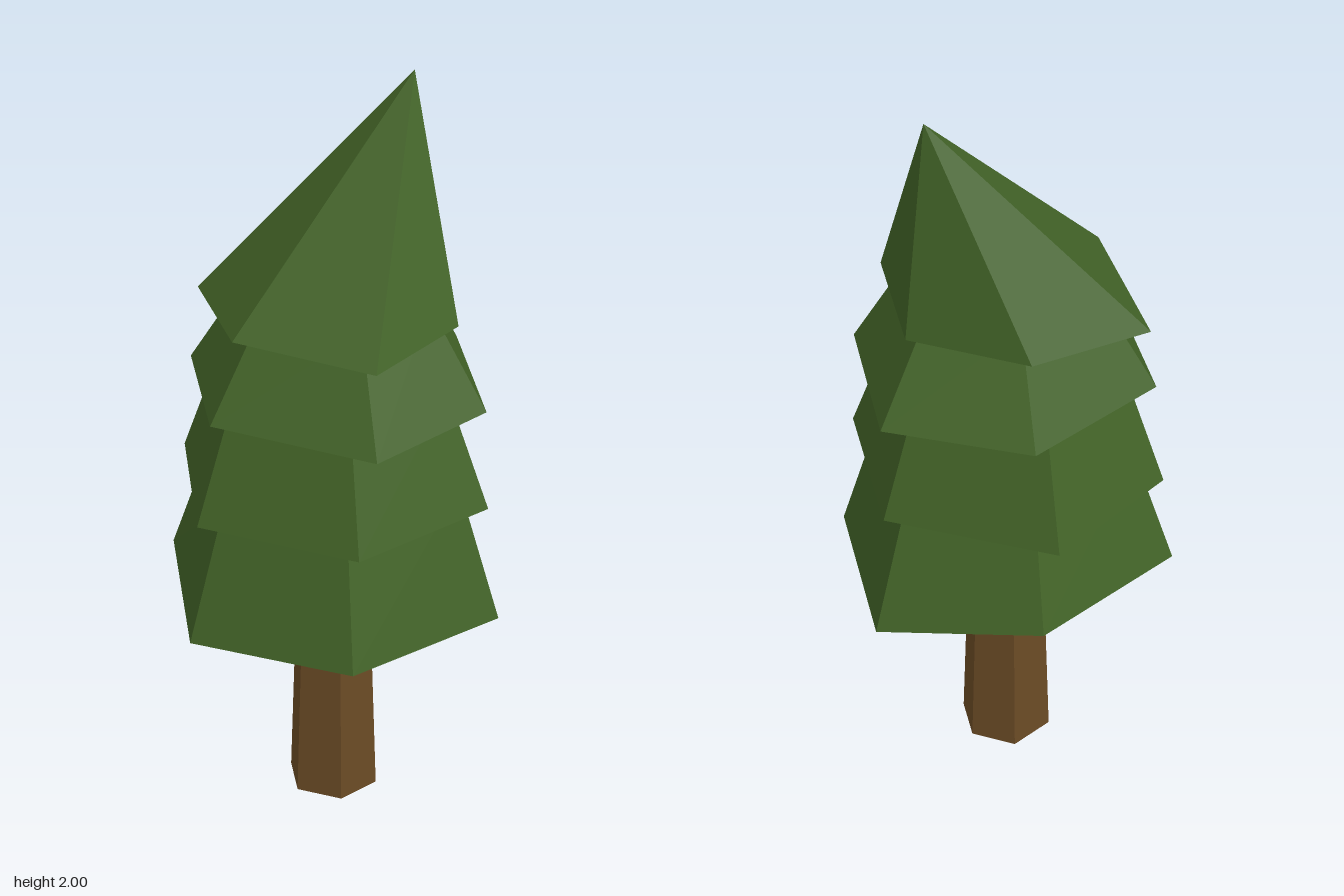
import * as THREE from 'three';

// Flat-shaded skin through rings of points, closed by a fan at both ends.
// Rings run counter-clockwise seen from above; tip replaces the last fan's centre.
function loft(rings, tip) {
  const pos = [];
  const tri = (...pts) => pts.forEach((p) => pos.push(p.x, p.y, p.z));
  const n = rings[0].length;
  const first = rings[0], last = rings[rings.length - 1];
  const start = centre(first), end = tip || centre(last);
  for (let i = 0; i < n; i++) {
    const j = (i + 1) % n;
    tri(start, first[j], first[i]);
    for (let k = 0; k < rings.length - 1; k++) {
      const a = rings[k], b = rings[k + 1];
      tri(a[i], a[j], b[j]);
      tri(a[i], b[j], b[i]);
    }
    tri(end, last[i], last[j]);
  }
  const geometry = new THREE.BufferGeometry();
  geometry.setAttribute('position', new THREE.Float32BufferAttribute(pos, 3));
  geometry.computeVertexNormals();
  return geometry;
}

function centre(ring) {
  const c = new THREE.Vector3();
  ring.forEach((p) => c.add(p));
  return c.divideScalar(ring.length);
}

// Ring scaled sideways about its centre and lifted.
function inset(ring, scale, lift) {
  const c = centre(ring);
  return ring.map((p) => new THREE.Vector3(
    c.x + (p.x - c.x) * scale, p.y + lift, c.z + (p.z - c.z) * scale));
}

const toRing = (corners) => corners.map((p) => new THREE.Vector3(...p));

export function createModel() {
  const tree = new THREE.Group();
  tree.name = 'pineTree';
  const needles = new THREE.MeshStandardMaterial({ color: 0x426327 });
  needles.name = 'needleGreen';
  const bark = new THREE.MeshStandardMaterial({ color: 0x6b4b25 });
  bark.name = 'barkBrown';

  const add = (name, geometry, material) => {
    const mesh = new THREE.Mesh(geometry, material);
    mesh.name = name;
    tree.add(mesh);
  };

  // Tapered six-sided trunk
  const foot = toRing([
    [0.005, 0, 0.115], [0.11, 0, 0.055], [0.11, 0, -0.065],
    [0.005, 0, -0.13], [-0.105, 0, -0.065], [-0.105, 0, 0.055],
  ]);
  add('trunk', loft([foot, inset(foot, 0.8, 0.7)]), bark);

  // Uneven rims: front, left front, left back, back, right back, right front
  const tiers = [
    {
      name: 'bottomTier', topY: 0.98, topScale: 0.75,
      rim: [[-0.02, 0.635, 0.447], [0.4, 0.605, 0.207], [0.397, 0.61, -0.27],
        [0, 0.67, -0.44], [-0.395, 0.665, -0.205], [-0.4, 0.62, 0.217]],
    },
    {
      name: 'lowerMiddleTier', topY: 1.25, topScale: 0.73,
      rim: [[0, 0.945, 0.41], [0.365, 0.935, 0.2], [0.36, 0.93, -0.22],
        [-0.035, 0.935, -0.45], [-0.355, 0.945, -0.23], [-0.37, 0.94, 0.18]],
    },
    {
      name: 'upperMiddleTier', topY: 1.48, topScale: 0.6,
      rim: [[0.045, 1.21, 0.395], [0.355, 1.21, 0.19], [0.36, 1.21, -0.22],
        [0.015, 1.215, -0.4], [-0.335, 1.22, -0.2], [-0.33, 1.22, 0.17]],
    },
    {
      name: 'leaningTip', tip: new THREE.Vector3(0.22, 2, -0.12),
      rim: [[0.045, 1.44, 0.375], [0.285, 1.44, 0.16], [0.285, 1.44, -0.175],
        [0.01, 1.43, -0.33], [-0.31, 1.405, -0.22], [-0.27, 1.44, 0.155]],
    },
  ];

  // Each tier: shallow hollow underneath, flat lip, sloping sides
  for (const { name, rim, tip, topY, topScale } of tiers) {
    const edge = toRing(rim);
    const rings = [inset(edge, 0.78, 0.06), inset(edge, 0.78, 0), edge];
    if (!tip) {
      const top = inset(edge, topScale, 0);
      top.forEach((p) => { p.y = topY; });
      rings.push(top);
    }
    add(name, loft(rings, tip), needles);
  }
  return tree;
}
